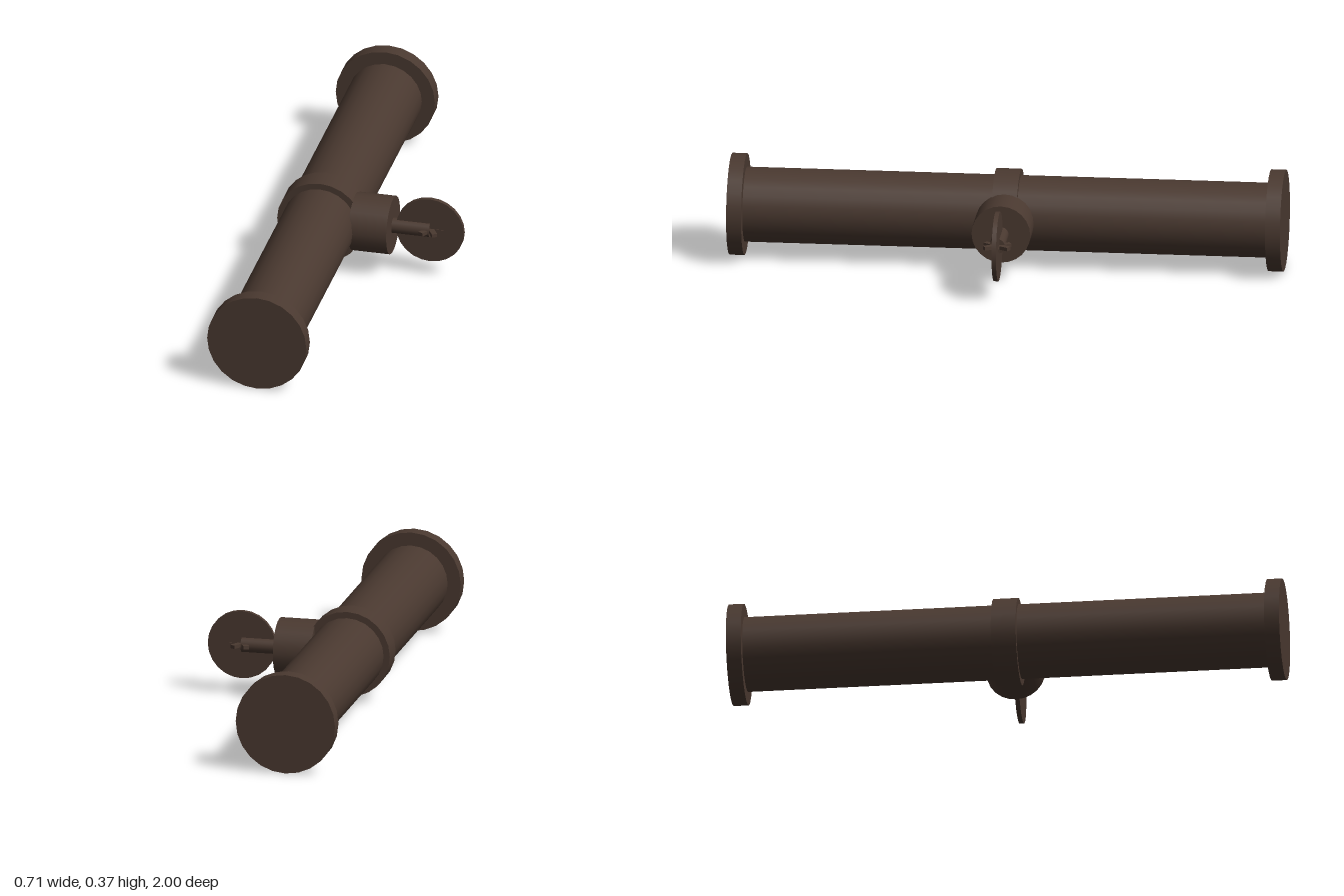
import * as THREE from 'three';

const PIPE_X = -0.17, CENTRE_Y = 0.185, WHEEL_X = 0.228;

export function createModel() {
  const model = new THREE.Group();
  model.name = 'pipeWithValve';
  const iron = new THREE.MeshStandardMaterial({ color: 0x4a3930 });
  iron.name = 'dark brown iron';

  const add = (name, geometry, x, z = 0) => {
    const mesh = new THREE.Mesh(geometry, iron);
    mesh.name = name;
    mesh.position.set(x, CENTRE_Y, z);
    model.add(mesh);
    return mesh;
  };
  // Cylinders lying along z or along x
  const alongZ = (radius, length) => new THREE.CylinderGeometry(radius, radius, length, 24).rotateX(Math.PI / 2);
  const alongX = (radius, length) => new THREE.CylinderGeometry(radius, radius, length, 24).rotateZ(Math.PI / 2);

  // Main pipe, end flanges and middle collar
  add('pipe', alongZ(0.135, 1.98), PIPE_X);
  for (const side of [1, -1]) {
    add(side > 0 ? 'frontFlange' : 'backFlange', alongZ(0.1835, 0.054), PIPE_X, side * 0.973);
  }
  add('collar', alongZ(0.158, 0.09), PIPE_X);

  // Valve body and stem pointing to the side
  add('valveBody', alongX(0.106, 0.14), 0.02);
  add('valveStem', alongX(0.028, 0.148), 0.154);

  // Hand wheel disc with three crossed bars at its hub
  add('handWheel', alongZ(0.1255, 0.016), WHEEL_X);
  for (let i = 0; i < 3; i++) {
    add('wheelBar', new THREE.BoxGeometry(0.104, 0.013, 0.02), WHEEL_X).rotation.y = i * Math.PI / 3;
  }
  return model;
}
